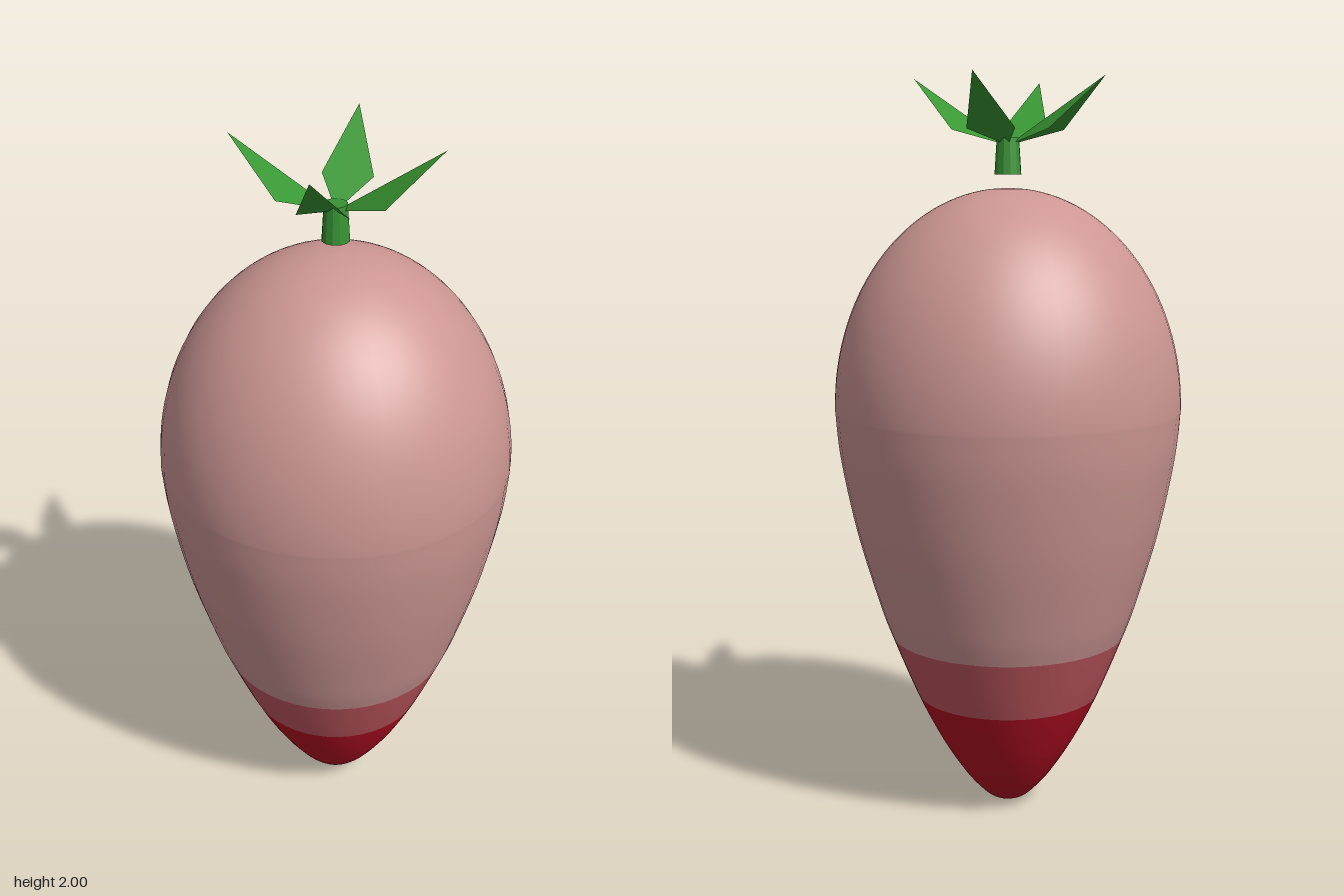
import * as THREE from 'three';

const material = (name, color, side = THREE.FrontSide) => {
  const m = new THREE.MeshStandardMaterial({ color, side });
  m.name = name;
  return m;
};

// Root radius at a height: pointed power curve below, elliptical crown above
const TOP = 1.715, WIDEST = 1.13, MAX_R = 0.467;
const lower = new THREE.SplineCurve([
  [0, 0.005], [0.047, 0.02], [0.082, 0.05], [0.124, 0.1], [0.188, 0.2], [0.253, 0.33],
  [0.322, 0.5], [0.357, 0.6], [0.414, 0.8], [0.454, 1.0], [MAX_R, WIDEST],
].map(([r, y]) => new THREE.Vector2(r, y)));

function rootProfile() {
  const points = lower.getPoints(90);
  for (let i = 1; i <= 32; i++) {
    const a = (i / 32) * Math.PI / 2;
    points.push(new THREE.Vector2(
      i === 32 ? 0 : MAX_R * Math.cos(a), WIDEST + (TOP - WIDEST) * Math.sin(a)));
  }
  return points;
}

// Cut the profile between two heights, interpolating the end points
function slice(profile, y0, y1) {
  const at = (y) => {
    const i = profile.findIndex((p) => p.y > y);
    const a = profile[i - 1], b = profile[i];
    return a.clone().lerp(b, (y - a.y) / (b.y - a.y));
  };
  const points = profile.filter((p) => p.y > y0 + 0.001 && p.y < y1 - 0.001);
  if (y0 > 0) points.unshift(at(y0)); else points.unshift(profile[0]);
  if (y1 < TOP) points.push(at(y1)); else points.push(profile[profile.length - 1]);
  return points;
}

// Diamond leaf folded along its midrib, shaded as one face
function leafGeometry() {
  const base = [0, 1.825, 0], tip = [0, 2, 0.265];
  const left = [0.066, 1.865, 0.133], right = [-0.066, 1.865, 0.133];
  const n = new THREE.Vector3(0, tip[2], base[1] - tip[1]).normalize().toArray();
  const g = new THREE.BufferGeometry();
  g.setAttribute('position', new THREE.Float32BufferAttribute([...base, ...left, ...tip, ...right], 3));
  g.setAttribute('normal', new THREE.Float32BufferAttribute([...n, ...n, ...n, ...n], 3));
  g.setIndex([0, 2, 1, 0, 3, 2]);
  return g;
}

export function createModel() {
  const group = new THREE.Group();
  const add = (name, geometry, mat) => {
    const mesh = new THREE.Mesh(geometry, mat);
    mesh.name = name;
    group.add(mesh);
    return mesh;
  };

  const pink = material('dusty pink', 0xcc9693);
  const rose = material('rose', 0xc0575f);
  const red = material('deep red', 0xb50f24);
  const green = material('leaf green', 0x3a9934, THREE.DoubleSide);
  const stemGreen = material('stem green', 0x389434);

  // Root in three colour bands
  const profile = rootProfile();
  add('rootTip', new THREE.LatheGeometry(slice(profile, 0, 0.33), 48), red);
  add('rootBand', new THREE.LatheGeometry(slice(profile, 0.33, 0.5), 48), rose);
  add('rootBody', new THREE.LatheGeometry(slice(profile, 0.5, TOP), 48), pink);

  // Short faceted stem, hovering just above the crown
  const stem = new THREE.CylinderGeometry(0.03, 0.036, 0.095, 12).toNonIndexed();
  stem.computeVertexNormals();
  stem.translate(0, 1.7975, 0);
  add('stem', stem, stemGreen);

  // Four leaves around the stem; flip winding so the upper side is the front
  const leaf = leafGeometry();
  leaf.setIndex([0, 1, 2, 0, 2, 3]);
  const p = leaf.attributes.position;
  const e1 = new THREE.Vector3().fromBufferAttribute(p, 1);
  const e2 = new THREE.Vector3().fromBufferAttribute(p, 2);
  const o = new THREE.Vector3().fromBufferAttribute(p, 0);
  if (e1.sub(o).cross(e2.sub(o)).y < 0) leaf.setIndex([0, 2, 1, 0, 3, 2]);
  ['frontLeaf', 'leftLeaf', 'backLeaf', 'rightLeaf'].forEach((name, i) => {
    add(name, leaf, green).rotation.y = i * Math.PI / 2;
  });

  return group;
}
